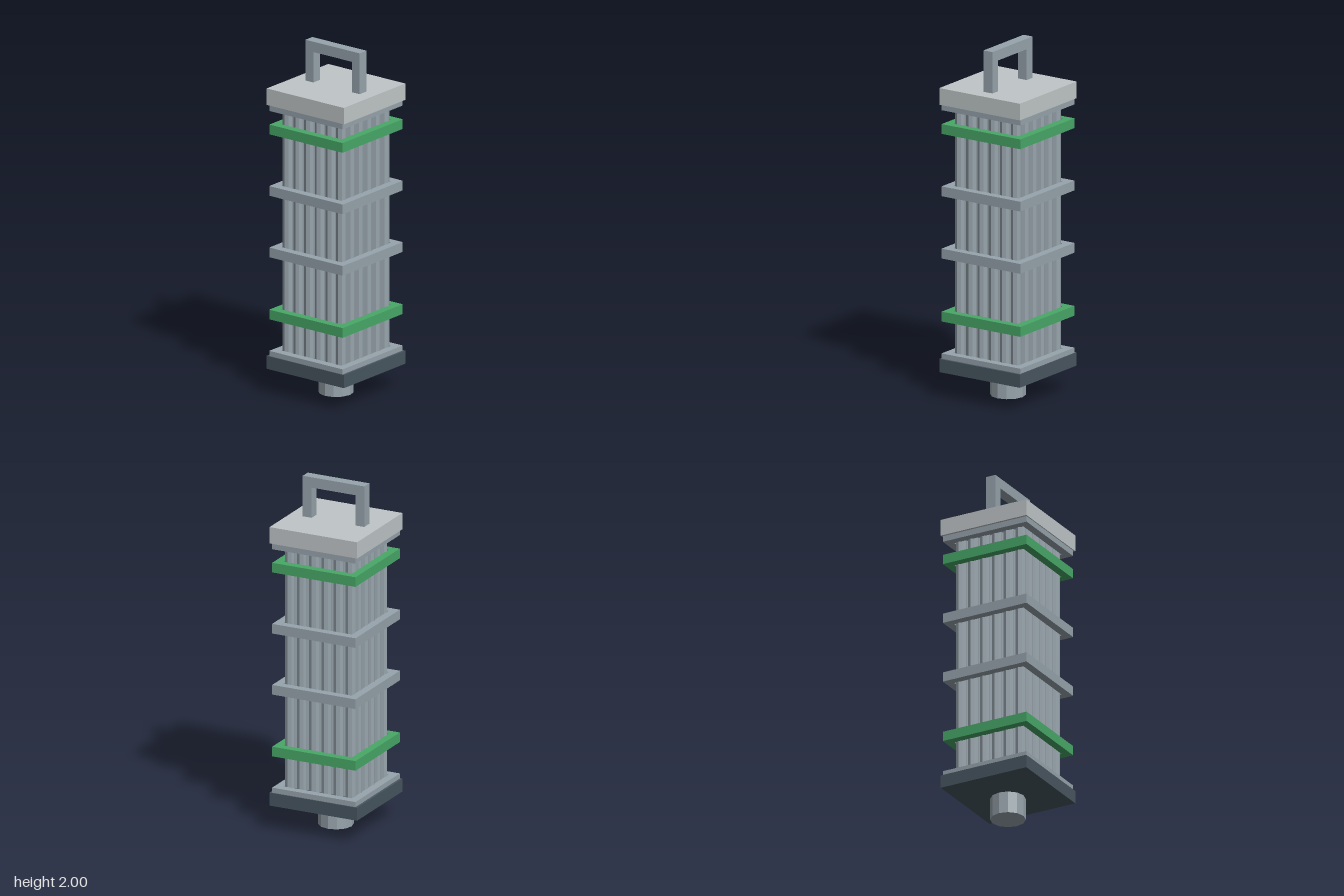
import * as THREE from 'three';

const mat = (name, color, flatShading = false) => {
  const m = new THREE.MeshStandardMaterial({ color, flatShading });
  m.name = name;
  return m;
};

export function createModel() {
  const model = new THREE.Group();
  model.name = 'rodBundle';
  const steel = mat('steel', 0x97a4ac, true);
  const paleSteel = mat('pale steel', 0xc0c6c8);
  const darkSteel = mat('dark steel', 0x485660);
  const green = mat('green', 0x48a868);

  const add = (parent, name, geometry, material, x, y, z) => {
    const mesh = new THREE.Mesh(geometry, material);
    mesh.name = name;
    mesh.position.set(x, y, z);
    parent.add(mesh);
    return mesh;
  };
  const box = (parent, name, w, h, d, material, x, y, z) =>
    add(parent, name, new THREE.BoxGeometry(w, h, d), material, x, y, z);

  // Six by six bundle of rods
  const rods = new THREE.Group();
  rods.name = 'rods';
  const rodGeometry = new THREE.CylinderGeometry(0.029, 0.029, 1.46, 8);
  for (let i = 0; i < 6; i++) {
    for (let j = 0; j < 6; j++) {
      add(rods, 'rod', rodGeometry, steel, (i - 2.5) * 0.075, 0.94, (j - 2.5) * 0.075);
    }
  }
  model.add(rods);

  // Open square spacer frames, each of four bars
  const halfX = 0.257, halfZ = 0.264, bar = 0.046, height = 0.056;
  const frame = (name, material, y) => {
    const g = new THREE.Group();
    g.name = name;
    g.position.y = y;
    for (const s of [-1, 1]) {
      box(g, 'crossBar', 2 * (halfX - bar), height, bar, material, 0, 0, s * (halfZ - bar / 2));
      box(g, 'sideBar', bar, height, 2 * halfZ, material, s * (halfX - bar / 2), 0, 0);
    }
    model.add(g);
  };
  frame('bottomFrame', steel, 0.222);
  frame('lowerGreenFrame', green, 0.46);
  frame('lowerSpacer', steel, 0.819);
  frame('upperSpacer', steel, 1.174);
  frame('upperGreenFrame', green, 1.529);
  frame('topFrame', steel, 1.664);

  // End plates and the stub below
  box(model, 'topPlate', 0.54, 0.095, 0.54, paleSteel, 0, 1.717, 0);
  box(model, 'basePlate', 0.54, 0.075, 0.54, darkSteel, 0, 0.183, 0);
  add(model, 'bottomStub', new THREE.CylinderGeometry(0.098, 0.098, 0.125, 12), steel, 0, 0.0625, 0);

  // Lifting handle
  const handle = new THREE.Group();
  handle.name = 'handle';
  box(handle, 'grip', 0.38, 0.06, 0.06, steel, 0, 1.97, 0);
  for (const s of [-1, 1]) box(handle, 'handleLeg', 0.055, 0.18, 0.06, steel, s * 0.1625, 1.85, 0);
  model.add(handle);

  return model;
}
